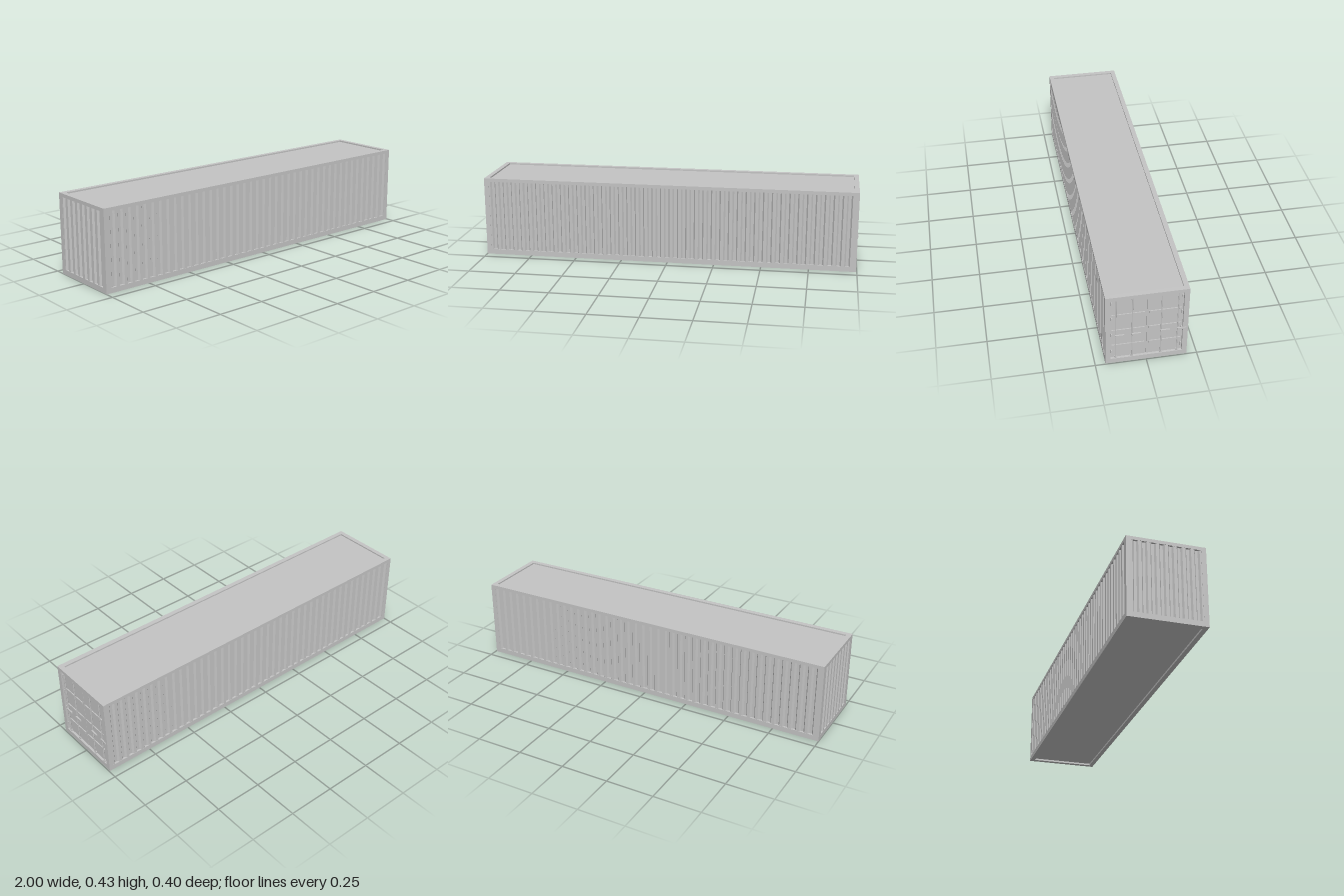
import * as THREE from 'three';

const X0 = -1, X1 = 0.996, H = 0.425, Z = 0.2;
const RAIL = 0.025, BOTTOM = 0.027, TOP = 0.407;

export function createModel() {
  const root = new THREE.Group();
  root.name = 'shippingContainer';
  const grey = new THREE.MeshStandardMaterial({ color: 0xc4c4c4 });
  grey.name = 'lightGrey';

  const add = (name, geometry, x, y, z, parent = root) => {
    const mesh = new THREE.Mesh(geometry, grey);
    mesh.name = name;
    mesh.position.set(x, y, z);
    parent.add(mesh);
    return mesh;
  };
  // Box given by its limits on each axis
  const box = (name, x0, x1, y0, y1, z0, z1, parent) => add(name,
    new THREE.BoxGeometry(x1 - x0, y1 - y0, z1 - z0),
    (x0 + x1) / 2, (y0 + y1) / 2, (z0 + z1) / 2, parent);

  // Frame: long rails, end rails and corner posts
  for (const s of [-1, 1]) {
    const [z0, z1] = s > 0 ? [Z - RAIL, Z] : [-Z, RAIL - Z];
    box('bottomSideRail', X0, X1, 0, BOTTOM, z0, z1);
    box('topSideRail', X0, X1, TOP, H, z0, z1);
    box('rearPost', X0, X0 + RAIL, BOTTOM, TOP, z0, z1);
    box('doorPost', X1 - RAIL, X1, BOTTOM, TOP, z0, z1);
  }
  for (const [x0, x1] of [[X0, X0 + RAIL], [X1 - RAIL, X1]]) {
    box('bottomEndRail', x0, x1, 0, BOTTOM, RAIL - Z, Z - RAIL);
    box('topEndRail', x0, x1, TOP, H, RAIL - Z, Z - RAIL);
  }

  // Recessed roof and floor
  box('roof', X0 + RAIL, X1 - RAIL, TOP, H - 0.008, RAIL - Z, Z - RAIL);
  box('floor', X0 + RAIL, X1 - RAIL, 0.01, BOTTOM, RAIL - Z, Z - RAIL);

  // Corrugated wall: trapezoid ribs along a strip, extruded upwards
  const corrugated = (length, ribs) => {
    const step = length / ribs, depth = 0.011, start = -length / 2;
    const shape = new THREE.Shape();
    shape.moveTo(start, -0.018);
    shape.lineTo(length / 2, -0.018);
    for (let i = ribs - 1; i >= 0; i--) {
      const a = start + i * step;
      shape.lineTo(a + step, -0.001);
      shape.lineTo(a + step * 0.82, -0.001);
      shape.lineTo(a + step * 0.66, -depth);
      shape.lineTo(a + step * 0.34, -depth);
      shape.lineTo(a + step * 0.18, -0.001);
    }
    shape.lineTo(start, -0.001);
    const g = new THREE.ExtrudeGeometry(shape, { depth: TOP - BOTTOM, bevelEnabled: false });
    return g.rotateX(-Math.PI / 2);
  };
  const sideLength = X1 - X0 - 2 * RAIL;
  const side = corrugated(sideLength, 43);
  add('backWall', side, (X0 + X1) / 2, BOTTOM, -Z);
  add('frontWall', side, (X0 + X1) / 2, BOTTOM, Z).rotation.y = Math.PI;
  add('rearEndWall', corrugated(2 * (Z - RAIL), 8), X0, BOTTOM, 0).rotation.y = Math.PI / 2;

  // Two door leaves with ribs, locking rods, handles and hinges
  const face = 0.984;
  for (const s of [-1, 1]) {
    const door = new THREE.Group();
    door.name = s > 0 ? 'frontDoor' : 'backDoor';
    root.add(door);
    const span = (name, x0, x1, y0, y1, a, b) =>
      box(name, x0, x1, y0, y1, Math.min(s * a, s * b), Math.max(s * a, s * b), door);
    span('doorLeaf', face - 0.015, face, BOTTOM, TOP, 0.001, 0.175);
    for (const y of [0.105, 0.203, 0.301]) {
      span('doorRib', face, face + 0.005, y - 0.006, y + 0.006, 0.01, 0.168);
    }
    for (const z of [0.07, 0.15]) {
      add('lockingRod', new THREE.CylinderGeometry(0.003, 0.003, TOP - BOTTOM, 10),
        face + 0.007, (TOP + BOTTOM) / 2, s * z, door);
      for (const y of [BOTTOM + 0.004, TOP - 0.004]) {
        span('rodKeeper', face, face + 0.009, y - 0.004, y + 0.004, z - 0.005, z + 0.005);
      }
      // Handles all point towards -z
      const zh = s * z;
      box('handle', face + 0.009, 1, 0.173, 0.182, zh - 0.041, zh + 0.003, door);
    }
    for (const y of [0.067, 0.175, 0.281, 0.379]) {
      span('hinge', face, face + 0.008, y - 0.01, y + 0.01, 0.166, 0.172);
    }
  }
  // Seal between the leaves
  box('doorSeal', face - 0.015, face - 0.006, BOTTOM, TOP, -0.001, 0.001);

  return root;
}
